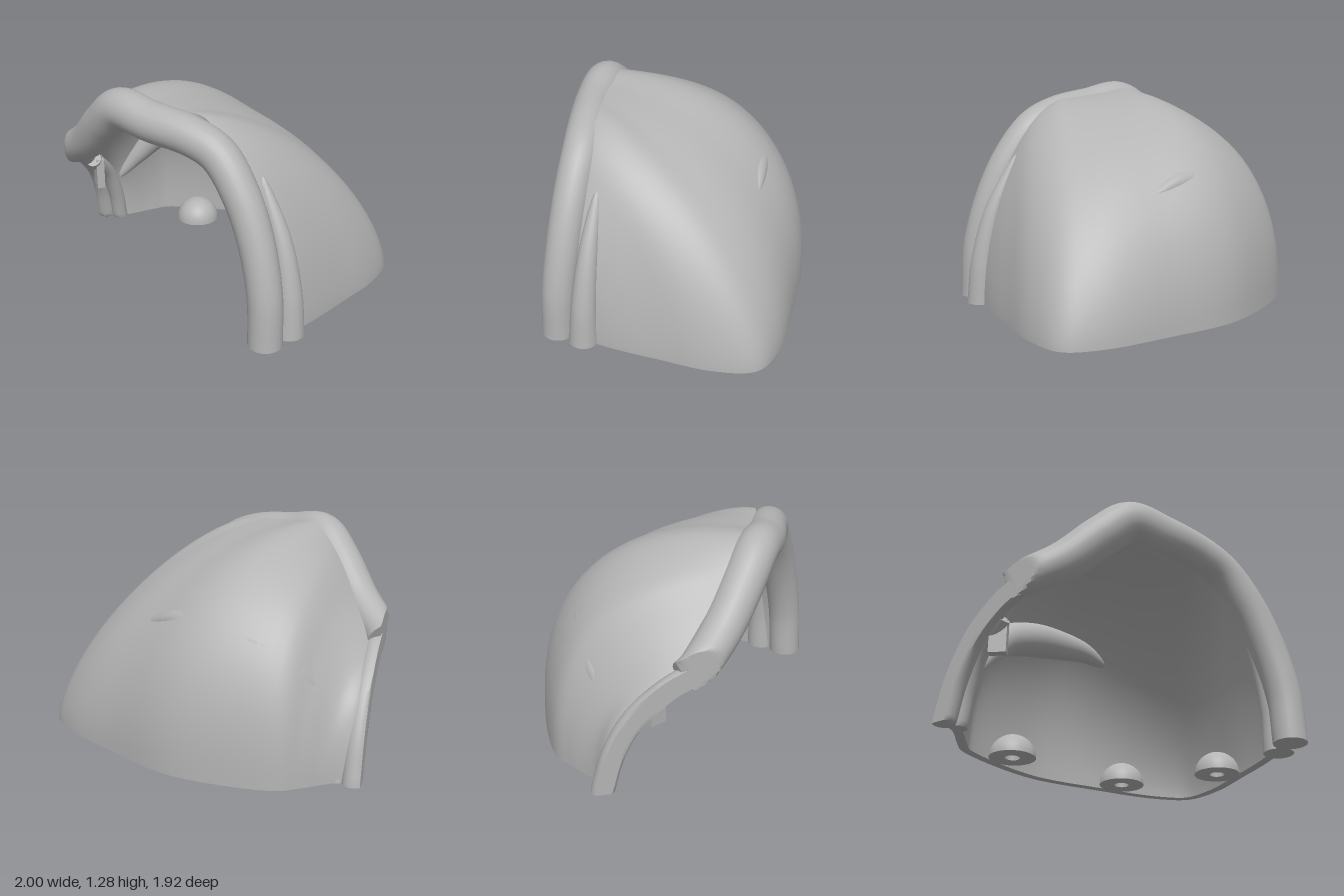
import * as THREE from 'three';
import { toCreasedNormals } from 'three/addons/utils/BufferGeometryUtils.js';

const V = (p) => new THREE.Vector3(...p);
const curveOf = (pts) => new THREE.CatmullRomCurve3(pts.map(V));

// x of the slanted vertical plane that trims the side opening
const trimX = (z) => -1 + (-0.22 - z) * 0.265;

// Tube with a radius rule, closed ends, trimmed at the ground and the side plane
function taperTube(pts, radius, N = 64, M = 24) {
  const curve = curveOf(pts);
  const g = new THREE.TubeGeometry(curve, N, 1, M, false);
  const p = g.attributes.position, v = new THREE.Vector3();
  for (let i = 0; i <= N; i++) {
    const c = curve.getPointAt(i / N), r = radius(i / N);
    for (let j = 0; j <= M; j++) {
      const k = i * (M + 1) + j;
      v.fromBufferAttribute(p, k).sub(c).multiplyScalar(r).add(c);
      if (pts[0][1] === 0 && i === 0) v.y = 0;
      p.setXYZ(k, Math.max(v.x, trimX(v.z)), Math.max(v.y, 0), v.z);
    }
  }
  const idx = Array.from(g.index.array), last = N * (M + 1);
  for (let j = 1; j < M - 1; j++) idx.push(0, j, j + 1, last, last + j + 1, last + j);
  g.setIndex(idx);
  g.deleteAttribute('uv');
  return toCreasedNormals(g, 0.7);
}

// Ground outline as [x, bulge exponent, z], running from the front around the back
const outline = curveOf([
  [0.2, 1.6, 0.83], [0.3, 1.6, 0.76], [0.45, 1.52, 0.64], [0.66, 1.48, 0.44], [0.88, 1.48, 0.22],
  [1.0, 1.48, 0.0], [0.91, 1.68, -0.21], [0.6, 2.05, -0.51], [0.2, 2.38, -0.82], [-0.33, 2.42, -0.96],
  [-0.5, 2.2, -0.92], [-0.62, 2, -0.87], [-0.7, 2, -0.845], [-0.76, 2, -0.85], [-0.8, 2, -0.88],
]);
// Upper edge of the shell, matching the outline point by point
const edge = curveOf([
  [0.17, 0, 0.84], [0.15, 0.3, 0.82], [0.11, 0.62, 0.75], [0.03, 0.9, 0.65], [-0.07, 1.1, 0.54],
  [-0.16, 1.195, 0.42], [-0.31, 1.21, 0.34], [-0.48, 1.225, 0.25], [-0.62, 1.24, 0.14], [-0.73, 1.1, 0.01],
  [-0.84, 0.89, -0.16], [-0.92, 0.69, -0.38], [-0.86, 0.47, -0.68], [-0.84, 0.25, -0.79], [-0.81, 0, -0.88],
]);

// Curved wall with thickness, swept from outline to edge
function shellGeometry() {
  const U = 84, S = 30, T = 0.055, pos = [], idx = [], W = S + 1;
  for (let i = 0; i <= U; i++) {
    const b = outline.getPoint(i / U), r = edge.getPoint(i / U), e = 2 / b.y;
    for (let j = 0; j <= S; j++) {
      const a = (j / S) * Math.PI / 2;
      const u = Math.pow(Math.max(Math.cos(a), 0), e), v = Math.pow(Math.sin(a), e);
      pos.push(r.x + (b.x - r.x) * u, Math.max(r.y * v, 0), r.z + (b.z - r.z) * u);
    }
  }
  for (let i = 0; i < U; i++) for (let j = 0; j < S; j++) {
    const a = i * W + j, b = a + W;
    idx.push(a, b, a + 1, b, b + 1, a + 1);
  }
  const outer = new THREE.BufferGeometry();
  outer.setAttribute('position', new THREE.Float32BufferAttribute(pos, 3));
  outer.setIndex(idx);
  outer.computeVertexNormals();
  // inner skin, offset along the normals
  const n = outer.attributes.normal, count = n.count, all = pos.slice(), faces = idx.slice();
  for (let k = 0; k < count; k++) {
    const y = k % W === 0 ? 0 : Math.max(0, pos[k * 3 + 1] - T * n.getY(k));
    all.push(pos[k * 3] - T * n.getX(k), y, pos[k * 3 + 2] - T * n.getZ(k));
  }
  for (let f = 0; f < idx.length; f += 3) faces.push(idx[f] + count, idx[f + 2] + count, idx[f + 1] + count);
  // ground face and upper edge face
  for (let i = 0; i < U; i++) {
    const a = i * W, b = a + W, c = a + S, d = b + S;
    faces.push(a, a + count, b, b, a + count, b + count);
    faces.push(c, d, c + count, d, d + count, c + count);
  }
  const g = new THREE.BufferGeometry();
  g.setAttribute('position', new THREE.Float32BufferAttribute(all, 3));
  g.setIndex(faces);
  return toCreasedNormals(g, 0.8);
}

// Domed boss with a blind hole in its flat underside
function bossGeometry() {
  const R = 0.14, pts = [[0, 0.08], [0.045, 0.08], [0.045, 0], [R, 0]];
  for (let i = 1; i <= 10; i++) {
    const a = (i / 10) * Math.PI / 2;
    pts.push([R * Math.cos(a), R * Math.sin(a)]);
  }
  return toCreasedNormals(new THREE.LatheGeometry(pts.map((p) => new THREE.Vector2(...p)), 32), 0.7);
}

export function createModel() {
  const group = new THREE.Group();
  const gray = new THREE.MeshStandardMaterial({ color: 0xb4b4b4, side: THREE.DoubleSide });
  gray.name = 'plain gray';
  const add = (name, geometry, x = 0, y = 0, z = 0) => {
    const mesh = new THREE.Mesh(geometry, gray);
    mesh.name = name;
    mesh.position.set(x, y, z);
    group.add(mesh);
    return mesh;
  };

  add('shell', shellGeometry());

  // Thick roll around the front opening
  add('frontRim', taperTube([
    [0.15, 0, 0.855], [0.145, 0.3, 0.835], [0.1, 0.6, 0.765], [0.02, 0.85, 0.67], [-0.09, 1.03, 0.56],
    [-0.23, 1.1, 0.46], [-0.45, 1.135, 0.31], [-0.62, 1.16, 0.16], [-0.72, 1.04, 0.03],
    [-0.83, 0.85, -0.15], [-0.94, 0.72, -0.35], [-0.96, 0.69, -0.42],
  ], (t) => 0.1 + 0.02 * Math.sin(Math.PI * t * t), 96));

  // Lip along the side opening
  add('sideLip', taperTube([
    [-0.79, 0, -0.84], [-0.81, 0.25, -0.77], [-0.845, 0.45, -0.66], [-0.9, 0.61, -0.49], [-0.93, 0.68, -0.36],
  ], () => 0.065, 40));

  // Second, lower lip just inside the first
  add('innerLip', taperTube([
    [-0.7, 0, -0.8], [-0.72, 0.2, -0.75], [-0.77, 0.4, -0.66], [-0.84, 0.56, -0.5],
  ], () => 0.05, 32));

  // Catch under the end of the front rim
  const latch = add('catch', new THREE.BoxGeometry(0.05, 0.2, 0.1), -0.81, 0.46, -0.53);
  latch.rotation.y = 0.26;

  // Tapered rib beside the front rim
  add('frontRib', taperTube([
    [0.295, 0, 0.755], [0.29, 0.25, 0.74], [0.25, 0.55, 0.685], [0.145, 0.9, 0.565],
  ], (t) => 0.085 * Math.pow(1 - t, 0.5) + 0.005, 40));

  // Rib running through the back wall, thin at both ends
  add('backRib', taperTube([
    [0.37, 0.74, -0.35], [0.2, 0.79, -0.45], [0, 0.78, -0.56], [-0.2, 0.74, -0.65],
    [-0.4, 0.65, -0.72], [-0.55, 0.5, -0.73], [-0.68, 0.34, -0.72],
  ], (t) => 0.015 + 0.09 * Math.pow(Math.sin(Math.PI * t), 0.8), 48));

  // Mounting bosses along the ground edge
  for (const [x, z] of [[0.55, 0.31], [0.55, -0.32], [-0.16, -0.74]]) add('mountingBoss', bossGeometry(), x, 0, z);

  return group;
}
